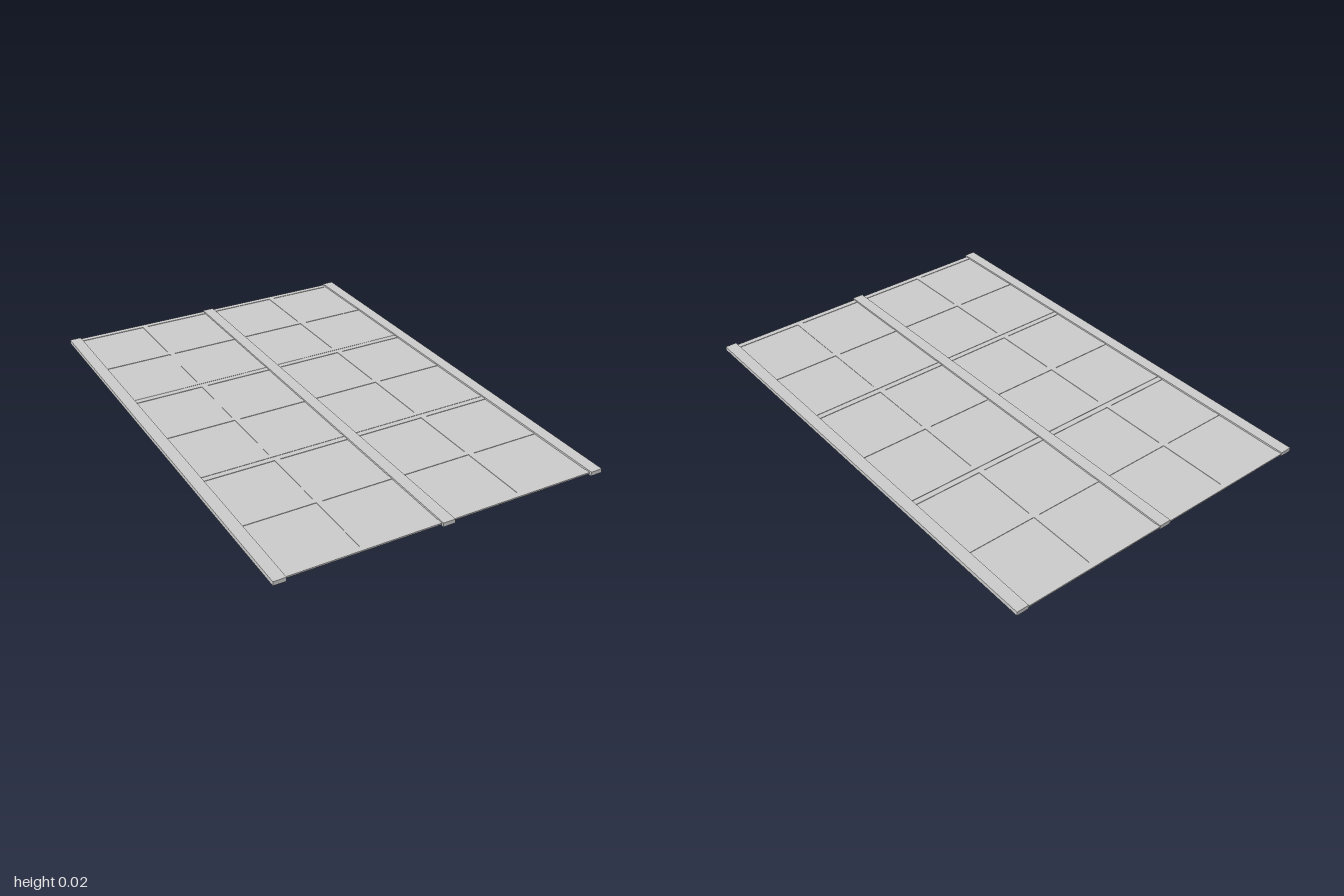
import * as THREE from 'three';

export function createModel() {
  const group = new THREE.Group();
  const material = new THREE.MeshStandardMaterial({ color: 0xcccccc, flatShading: true });
  const midY = 0.0085;

  // Box given by its extents in x and z, centred on the panel's mid height
  function slab(name, x0, x1, z0, z1, height) {
    const mesh = new THREE.Mesh(new THREE.BoxGeometry(x1 - x0, height, z1 - z0), material);
    mesh.position.set((x0 + x1) / 2, midY, (z0 + z1) / 2);
    mesh.name = name;
    group.add(mesh);
  }

  // Three thick stiles running the full length
  const stileWidth = 0.05, outer = 0.687;
  for (const x of [-outer + stileWidth / 2, 0, outer - stileWidth / 2]) {
    slab('stile', x - stileWidth / 2, x + stileWidth / 2, -1, 1, 0.017);
  }

  // Two columns of three framed panes, each split by a cross bar and a mullion
  const length = 0.664, rail = 0.025, barHeight = 0.006;
  const inner = stileWidth / 2, edge = outer - stileWidth;
  for (const side of [-1, 1]) {
    const x0 = side < 0 ? -edge : inner;
    const x1 = side < 0 ? -inner : edge;
    const midX = (x0 + x1) / 2;
    for (let i = 0; i < 3; i++) {
      const z0 = -1 + i * length, z1 = z0 + length, midZ = (z0 + z1) / 2;
      slab('pane', x0, x1, z0 + 0.002, z1 - 0.002, 0.002);
      slab('endRail', x0, x1, z0 + 0.001, z0 + rail, barHeight);
      slab('endRail', x0, x1, z1 - rail, z1 - 0.001, barHeight);
      slab('crossBar', x0, x1, midZ - rail / 2, midZ + rail / 2, barHeight);
      // Mullion pieces between the rails
      slab('mullion', midX - 0.012, midX + 0.012, z0 + rail, midZ - rail / 2, barHeight);
      slab('mullion', midX - 0.012, midX + 0.012, midZ + rail / 2, z1 - rail, barHeight);
    }
  }
  return group;
}
